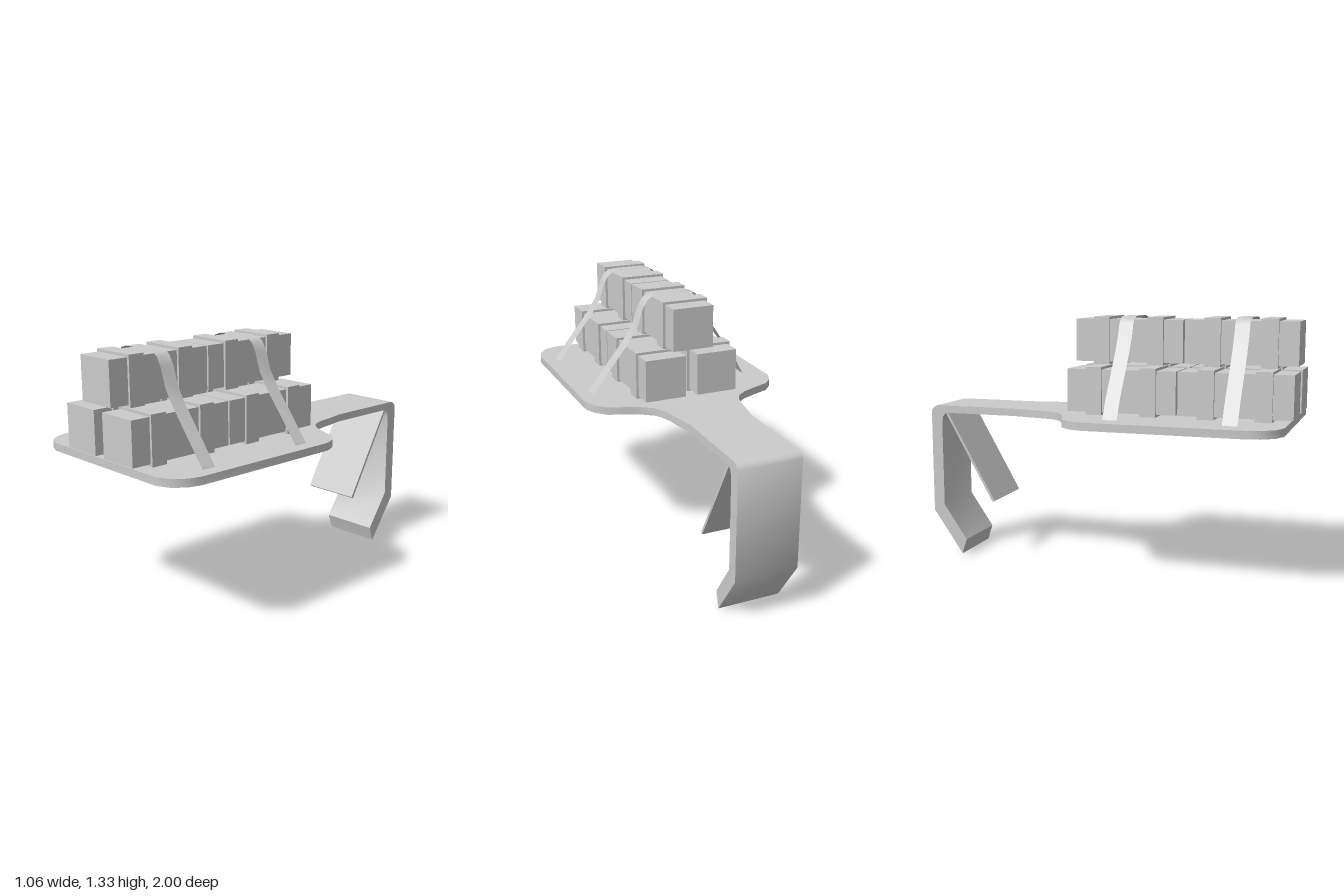
import * as THREE from 'three';
import { toCreasedNormals } from 'three/addons/utils/BufferGeometryUtils.js';

const material = new THREE.MeshStandardMaterial({ color: 0xcccccc });
const sheetMaterial = new THREE.MeshStandardMaterial({ color: 0xcccccc, side: THREE.DoubleSide });

const PLATE_TOP = 0.835, PLATE_THICK = 0.04, HALF_NECK = 0.165;

function extrude(points, depth) {
  const shape = new THREE.Shape(points.map(([x, y]) => new THREE.Vector2(x, y)));
  return new THREE.ExtrudeGeometry(shape, { depth, bevelEnabled: false });
}

function addMesh(parent, name, geometry, mat = material) {
  const mesh = new THREE.Mesh(geometry, mat);
  mesh.name = name;
  parent.add(mesh);
  return mesh;
}

function addBox(parent, name, size, position) {
  addMesh(parent, name, new THREE.BoxGeometry(...size)).position.set(...position);
}

// Side profile of (z, y) points extruded across the neck width
function acrossNeck(points) {
  const geometry = extrude(points, HALF_NECK * 2);
  geometry.rotateY(-Math.PI / 2).translate(HALF_NECK, 0, 0);
  return toCreasedNormals(geometry, 0.8);
}

// Thin band following (x, y) points, with its width along z
function ribbon(points, width) {
  const geometry = new THREE.PlaneGeometry(1, width, points.length - 1, 1);
  geometry.rotateX(-Math.PI / 2);
  const pos = geometry.attributes.position;
  for (let i = 0; i < pos.count; i++) {
    const [x, y] = points[i % points.length];
    pos.setXY(i, x, y);
  }
  geometry.computeVertexNormals();
  return geometry;
}

export function createModel() {
  const model = new THREE.Group();
  model.name = 'strappedBarCarrier';

  // Paddle-shaped plate: half outline in (x, z), mirrored
  const half = [
    [0.165, -0.93], [0.165, -0.5], [0.185, -0.4], [0.198, -0.32], [0.213, -0.265],
    [0.24, -0.22], [0.29, -0.182], [0.36, -0.15], [0.455, -0.113], [0.505, -0.06],
    [0.53, 0], [0.532, 0.04], [0.532, 0.83], [0.515, 0.89], [0.47, 0.95], [0.4, 0.98],
  ];
  const outline = [...half, ...half.map(([x, z]) => [-x, z]).reverse()];
  const plate = extrude(outline, PLATE_THICK);
  plate.rotateX(Math.PI / 2).translate(0, PLATE_TOP, 0);
  addMesh(model, 'plate', toCreasedNormals(plate, 0.6));

  // Folded hook hanging from the end of the neck
  addMesh(model, 'hook', acrossNeck([
    [-0.93, 0.835], [-0.965, 0.835], [-0.985, 0.825], [-1, 0.805], [-1, 0.24],
    [-0.832, 0], [-0.82, 0.04], [-0.805, 0.083], [-0.937, 0.275], [-0.937, 0.74],
    [-0.93, 0.775], [-0.912, 0.795],
  ]));

  // Slanted spring flap
  addMesh(model, 'flap', acrossNeck([
    [-0.915, 0.797], [-0.64, 0.31], [-0.628, 0.318], [-0.9, 0.797],
  ]));

  // Three stacked rows, each of two square bars wrapped by two bands
  const rows = [
    ['top', 0, 1.208], ['right', -0.135, 0.958], ['left', 0.151, 0.958],
  ];
  for (const [rowName, x, y] of rows) {
    const row = new THREE.Group();
    row.name = rowName + 'Row';
    for (const z of [0.712, 0.127]) {
      addBox(row, 'bar', [0.22, 0.22, 0.576], [x, y, z]);
      for (const dz of [-0.143, 0.145]) {
        addBox(row, 'band', [0.246, 0.246, 0.084], [x, y, z + dz]);
      }
    }
    model.add(row);
  }

  // Tie-down straps running over the stack
  const strapPath = [
    [-0.415, 0.835], [-0.365, 0.93], [-0.26, 1.083], [-0.207, 1.16], [-0.165, 1.235],
    [-0.14, 1.3], [-0.122, 1.322], [-0.08, 1.334], [0.08, 1.334], [0.125, 1.326],
    [0.15, 1.31], [0.175, 1.268], [0.208, 1.17], [0.26, 1.09], [0.45, 0.85], [0.46, 0.835],
  ];
  for (const z of [0.724, 0.124]) {
    addMesh(model, 'strap', ribbon(strapPath, 0.075), sheetMaterial).position.z = z;
  }

  return model;
}
